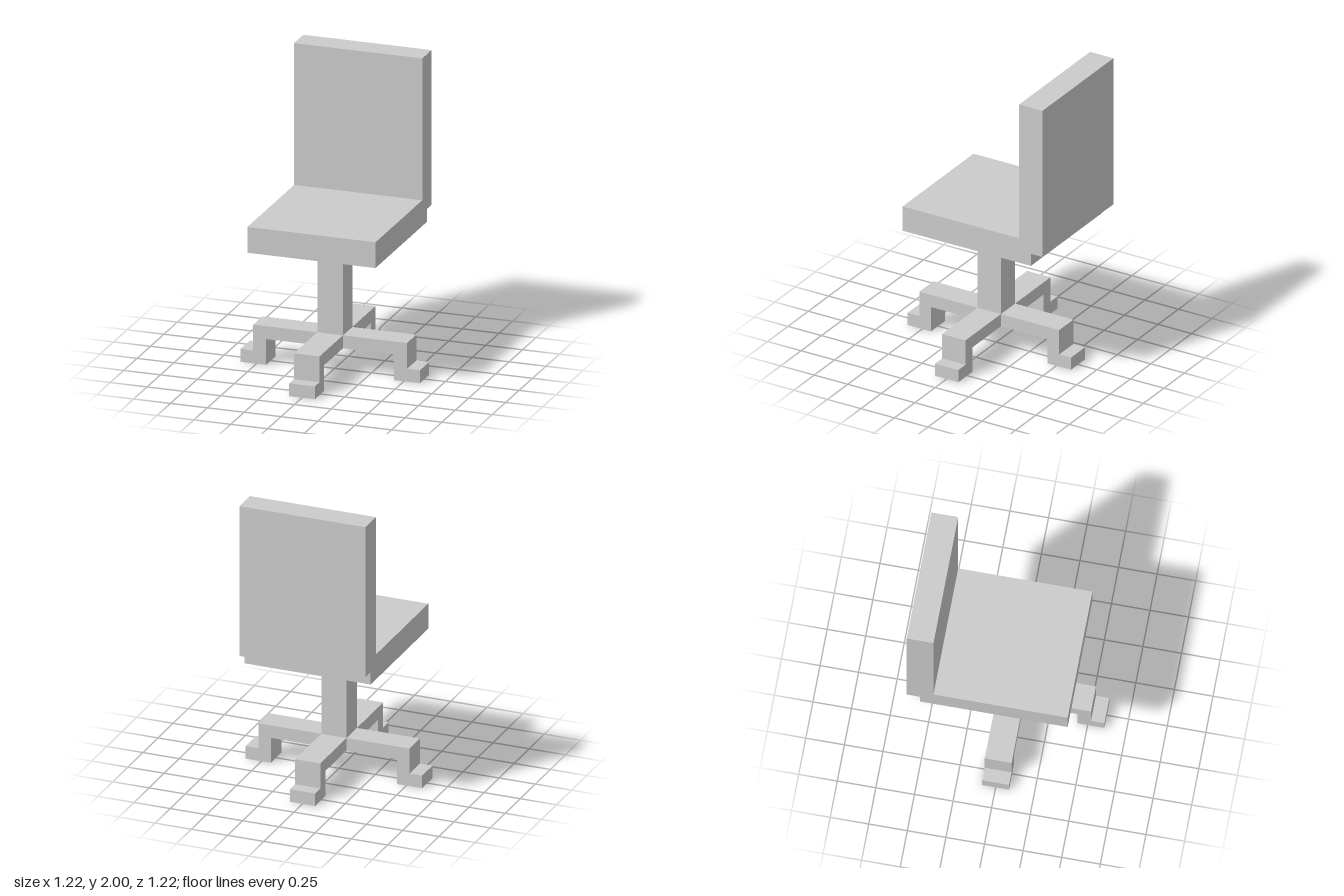
import * as THREE from 'three';

const U = 2 / 23; // the whole chair sits on a grid of this unit

const material = new THREE.MeshStandardMaterial({ color: 0xcccccc, flatShading: true });

// Extrudes a profile given in grid units, centred on its depth
function extrudeProfile(points, width) {
  const shape = new THREE.Shape(points.map(([x, y]) => new THREE.Vector2(x * U, y * U)));
  const geometry = new THREE.ExtrudeGeometry(shape, { depth: width * U, bevelEnabled: false });
  return geometry.translate(0, 0, -width * U / 2);
}

function addMesh(parent, name, geometry) {
  const mesh = new THREE.Mesh(geometry, material);
  mesh.name = name;
  parent.add(mesh);
  return mesh;
}

export function createModel() {
  const chair = new THREE.Group();
  chair.name = 'officeChair';

  // Seat and backrest: one side profile (x runs to the back), with a step under the back
  const seatProfile = [[-5, 10], [6, 10], [6, 11], [7, 11], [7, 23], [5, 23], [5, 12], [-5, 12]];
  addMesh(chair, 'seatAndBackrest', extrudeProfile(seatProfile, 10).rotateY(Math.PI / 2));

  // Square post, from the underside of the base cross to the seat
  addMesh(chair, 'post', new THREE.BoxGeometry(2 * U, 8 * U, 2 * U).translate(0, 6 * U, 0));

  // Four stepped legs with feet turned outwards
  const legProfile = [[1, 2], [5, 2], [5, 0], [7, 0], [7, 1], [6, 1], [6, 3], [1, 3]];
  const legGeometry = extrudeProfile(legProfile, 2);
  const base = new THREE.Group();
  base.name = 'base';
  ['leftLeg', 'backLeg', 'rightLeg', 'frontLeg'].forEach((name, i) => {
    addMesh(base, name, legGeometry).rotation.y = i * Math.PI / 2;
  });
  chair.add(base);

  return chair;
}
